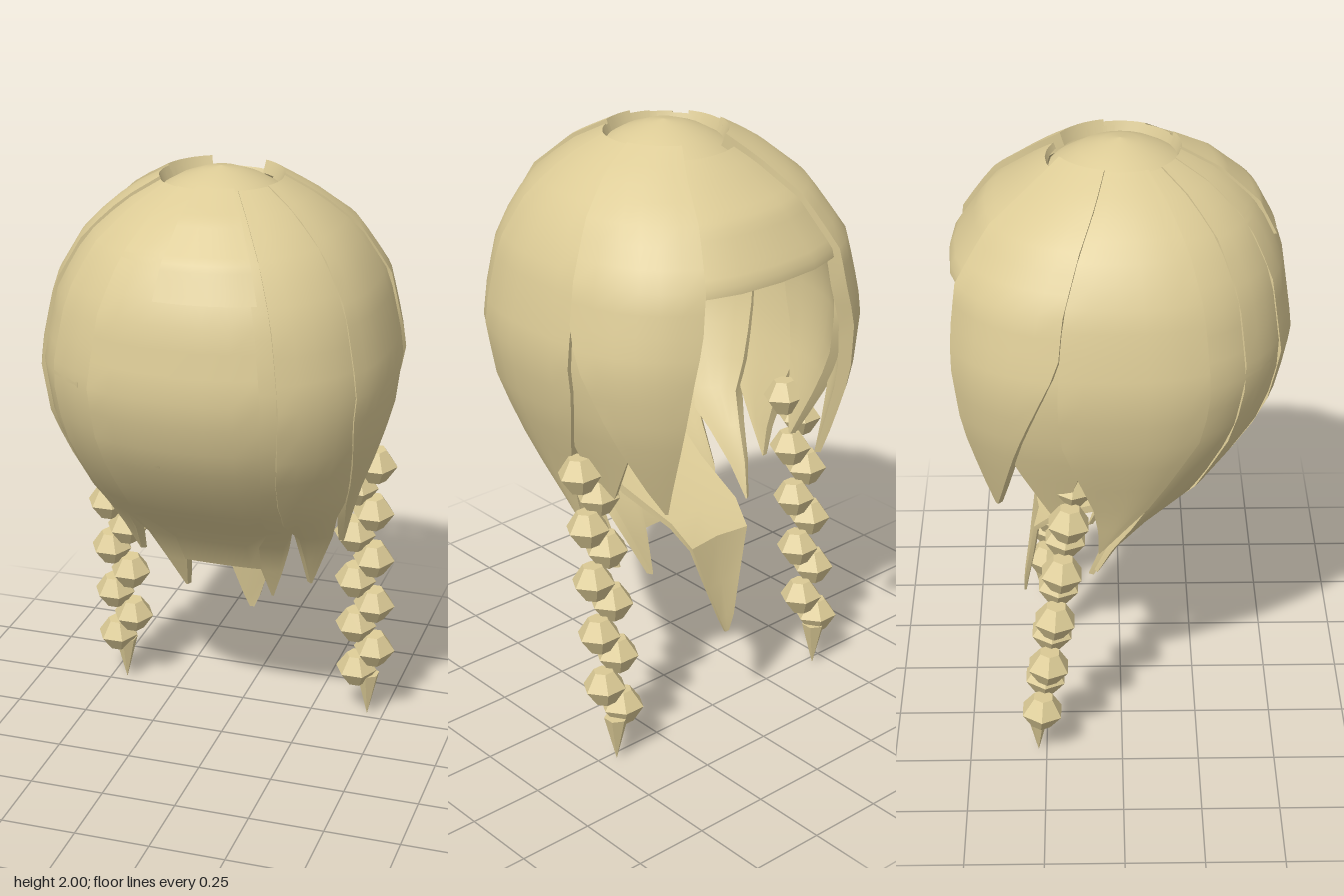
import * as THREE from 'three';
import { toCreasedNormals } from 'three/addons/utils/BufferGeometryUtils.js';

const hair = new THREE.MeshStandardMaterial({ color: 0xdccb96, side: THREE.DoubleSide });
const RAD = Math.PI / 180;
const { lerp, clamp } = THREE.MathUtils;

// Hair envelope by height: y, half width, depth to +z, depth to -z, centre z
const ENVELOPE = [
  [1.96, 0.19, 0.18, 0.2, 0], [1.9, 0.3, 0.3, 0.29, 0], [1.8, 0.415, 0.415, 0.43, 0],
  [1.65, 0.5, 0.49, 0.53, 0], [1.4, 0.55, 0.525, 0.555, 0], [1.2, 0.525, 0.475, 0.545, 0],
  [1.0, 0.46, 0.34, 0.5, 0], [0.9, 0.42, 0.26, 0.465, -0.01], [0.8, 0.4, 0.15, 0.4, -0.06],
  [0.7, 0.37, 0.11, 0.38, -0.1], [0.6, 0.35, 0.11, 0.36, -0.15], [0.48, 0.32, 0.1, 0.34, -0.2],
];

function envelopeAt(y) {
  let i = 0;
  while (i < ENVELOPE.length - 2 && y < ENVELOPE[i + 1][0]) i++;
  const a = ENVELOPE[i], b = ENVELOPE[i + 1];
  const t = clamp((a[0] - y) / (a[0] - b[0]), 0, 1);
  return a.map((v, k) => lerp(v, b[k], t));
}

// Point on the envelope; angle 0 faces +z, 90 faces +x; out pushes it outward
function envelopePoint(angle, y, out) {
  const [, w, zPlus, zMinus, zc] = envelopeAt(y);
  const s = Math.sin(angle * RAD), c = Math.cos(angle * RAD);
  const up = clamp((y - 1.4) / 0.56, 0, 1) ** 2;
  const p = lerp(c < 0 ? 0.76 : 0.87, 1, up);
  const o = out * (1 - 0.7 * up);
  return [
    Math.sign(s) * Math.abs(s) ** p * (w + o),
    y + out * up * 0.8,
    zc + Math.sign(c) * Math.abs(c) ** p * ((c < 0 ? zMinus : zPlus) + o),
  ];
}

// Closed slab from point(u, v, side): u across, v downward, side 0 outer / 1 inner
function slab(name, cols, rows, point) {
  const pos = [], idx = [], n = cols + 1, ring = 2 * n;
  for (let r = 0; r <= rows; r++) {
    for (let i = 0; i < n; i++) pos.push(...point(i / cols, r / rows, 0));
    for (let i = cols; i >= 0; i--) pos.push(...point(i / cols, r / rows, 1));
  }
  for (let r = 0; r < rows; r++) {
    for (let i = 0; i < ring; i++) {
      const a = r * ring + i, b = r * ring + (i + 1) % ring;
      idx.push(a, a + ring, b, b, a + ring, b + ring);
    }
  }
  const end = rows * ring;
  for (let i = 0; i < cols; i++) {
    const a = i, b = i + 1, c = ring - 2 - i, d = ring - 1 - i;
    idx.push(a, b, c, a, c, d);
    idx.push(end + a, end + c, end + b, end + a, end + d, end + c);
  }
  const g = new THREE.BufferGeometry();
  g.setAttribute('position', new THREE.Float32BufferAttribute(pos, 3));
  g.setIndex(idx);
  const mesh = new THREE.Mesh(toCreasedNormals(g, 0.6), hair);
  mesh.name = name;
  return mesh;
}

// Strand running down the envelope from the crown, narrowing below taperY
function strand(name, { from, to, tip, end, out = 0, taperY = 1.05, tipWidth = 0.03, top = 1.96, thick = 0.05 }) {
  return slab(name, 6, 18, (u, v, side) => {
    const y = lerp(top, end, v ** 1.5);
    const k = clamp((y - end) / (taperY - end), 0, 1) ** 0.8;
    const w = Math.max(k, tipWidth);
    const angle = lerp(tip, lerp(from, to, u), w);
    return envelopePoint(angle, y, out - side * thick * (0.35 + 0.65 * k));
  });
}

export function createModel() {
  const model = new THREE.Group();
  model.name = 'hair';

  // Crown dome inside the ring of strands
  const dome = [[0.22, 1.91], [0.2, 1.925], [0.13, 1.965], [0.06, 1.99], [0, 2]];
  const crown = new THREE.Mesh(
    new THREE.LatheGeometry(dome.map(([x, y]) => new THREE.Vector2(x, y)), 24), hair);
  crown.name = 'crownDome';
  model.add(crown);

  // Pointed strands around the back and sides
  const strands = [
    { from: 4, to: 46, tip: 24, end: 0.5, out: 0.006 },
    { from: 32, to: 80, tip: 52, end: 0.57, out: 0.01 },
    { from: 64, to: 104, tip: 88, end: 0.75, out: 0.014, taperY: 1.25 },
    { from: -48, to: -4, tip: -24, end: 0.5, out: 0.008 },
    { from: -80, to: -32, tip: -59, end: 0.62, out: 0.002 },
    { from: -104, to: -64, tip: -88, end: 0.75, out: 0.014, taperY: 1.25 },
  ];
  strands.forEach((s) => model.add(strand('pointedStrand', s)));

  // Blunt central strand and the short layer over it
  model.add(strand('centreStrand', { from: -26, to: 26, tip: 0, end: 0.63, out: 0.012, taperY: 0.8, tipWidth: 0.7 }));
  model.add(strand('shortLayer', { from: -6, to: 28, tip: 10, end: 1.7, out: 0.022, tipWidth: 1 }));

  for (const s of [1, -1]) {
    const span = (a, b) => (s > 0 ? { from: a, to: b } : { from: -b, to: -a });
    // Long locks beside the face opening
    model.add(strand('faceLock', { ...span(104, 153), tip: s * 137, end: 0.9, out: 0.022, taperY: 1.5 }));
    // Strands that run into the braids
    model.add(strand('braidRoot', { ...span(92, 136), tip: s * 108, end: 0.88, out: -0.002, taperY: 1.35 }));
  }

  // Fringe over the face opening
  model.add(strand('fringe', { from: 142, to: 218, tip: 180, end: 1.62, out: -0.002, tipWidth: 1, top: 1.94, thick: 0.07 }));

  // Lock at the nape: sweeps under, then hangs to a point (z, y, half width)
  const nape = [[0.2, 0.9, 0.18], [0, 0.77, 0.17], [-0.2, 0.71, 0.14], [-0.275, 0.65, 0.12],
    [-0.295, 0.5, 0.07], [-0.315, 0.38, 0.03], [-0.32, 0.33, 0.008]];
  model.add(slab('napeLock', 2, nape.length - 1, (u, v, side) => {
    const i = Math.round(v * (nape.length - 1));
    const [z, y, w] = nape[i];
    const hang = i / (nape.length - 1);
    const ridge = (1 - Math.abs(2 * u - 1)) * 0.03 * (1 - hang);
    const t = side * 0.04 * (1 - 0.8 * hang);
    return [0.01 + (2 * u - 1) * w, y + t * (1 - hang), z + ridge - t * hang];
  }));

  // Beaded braids
  const beadProfile = [[0, -0.056], [0.034, -0.056], [0.072, 0], [0.034, 0.056], [0, 0.056]]
    .map(([x, y]) => new THREE.Vector2(x, y));
  const beadGeometry = toCreasedNormals(new THREE.LatheGeometry(beadProfile, 6), 0.3);
  const tipGeometry = toCreasedNormals(new THREE.ConeGeometry(0.04, 0.16, 6), 0.3);
  for (const s of [1, -1]) {
    const braid = new THREE.Group();
    braid.name = s > 0 ? 'leftBraid' : 'rightBraid';
    for (let i = 0; i < 10; i++) {
      const bead = new THREE.Mesh(beadGeometry, hair);
      bead.name = 'bead';
      const sway = i % 2 ? 0.032 : -0.032;
      bead.position.set(s * 0.438 + sway + (i > 7 ? 0.01 : 0), 0.183 + 0.0905 * i, lerp(-0.262, -0.155, i / 9));
      bead.rotation.set(0.08, Math.PI / 6, 0);
      braid.add(bead);
    }
    const tip = new THREE.Mesh(tipGeometry, hair);
    tip.name = 'braidTip';
    tip.position.set(s * 0.445, 0.08, -0.277);
    tip.rotation.x = Math.PI;
    braid.add(tip);
    model.add(braid);
  }
  return model;
}
